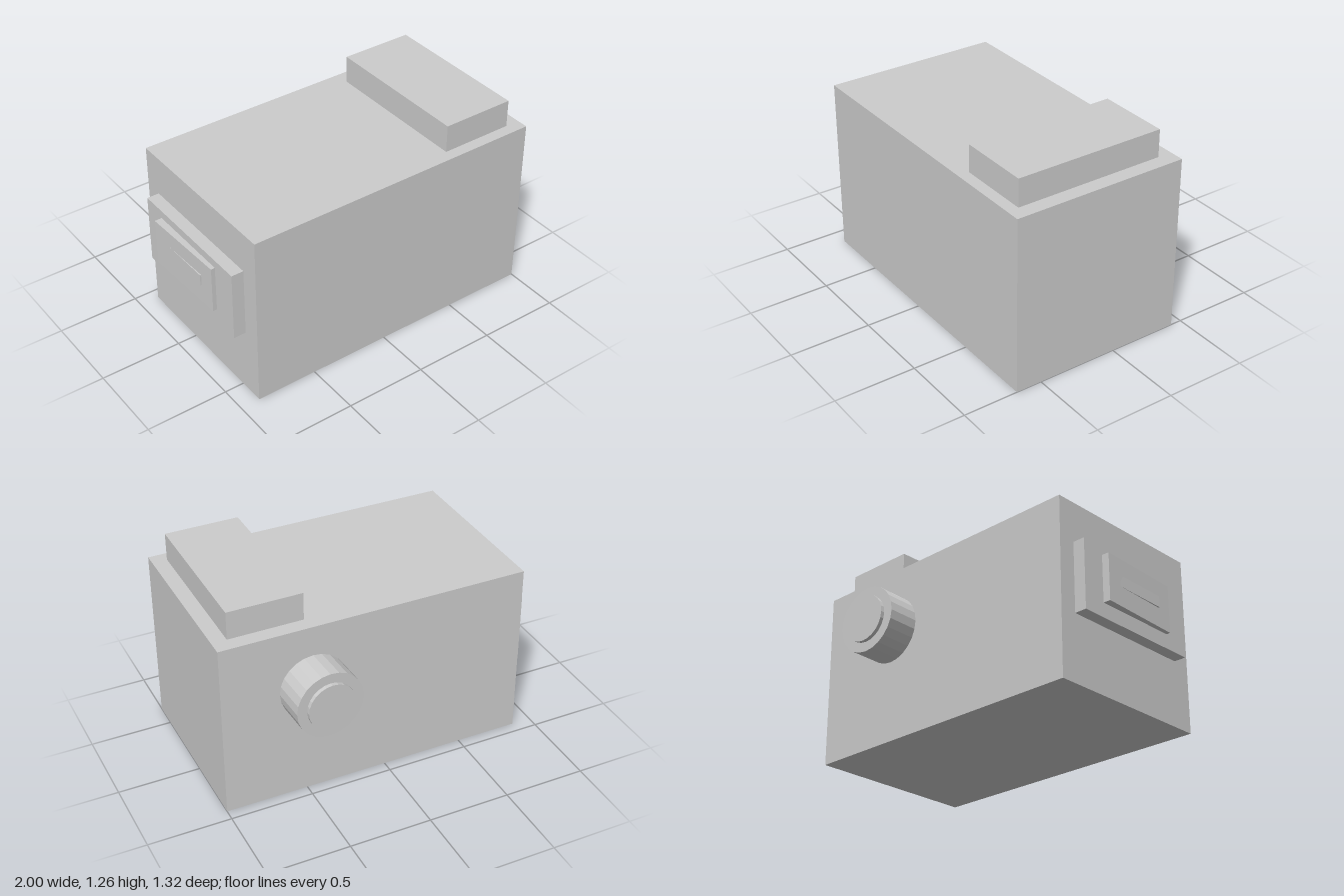
import * as THREE from 'three';

export function createModel() {
  const model = new THREE.Group();
  const grey = new THREE.MeshStandardMaterial({ color: 0xcccccc });
  grey.name = 'plain grey';

  function add(parent, name, geometry, x, y, z) {
    const mesh = new THREE.Mesh(geometry, grey);
    mesh.name = name;
    mesh.position.set(x, y, z);
    parent.add(mesh);
    return mesh;
  }

  // Box given by its lower and upper corners
  function box(name, [x0, y0, z0], [x1, y1, z1]) {
    const g = new THREE.BoxGeometry(x1 - x0, y1 - y0, z1 - z0);
    return add(model, name, g, (x0 + x1) / 2, (y0 + y1) / 2, (z0 + z1) / 2);
  }

  // Faceted disc whose axis runs along z
  function disc(radius, depth) {
    const g = new THREE.CylinderGeometry(radius, radius, depth, 24).rotateX(Math.PI / 2).toNonIndexed();
    g.computeVertexNormals();
    return g;
  }

  // Main body and the raised block on top
  box('body', [-0.88, 0, -0.43], [1, 1.09, 0.66]);
  box('topBlock', [0.46, 1.09, -0.34], [0.91, 1.26, 0.59]);

  // Layered panel on the -x side; the outer layers lean slightly
  box('sidePanel', [-0.955, 0.41, -0.32], [-0.88, 0.84, 0.545]);
  box('sidePlate', [-0.99, 0.5, -0.17], [-0.93, 0.79, 0.38]).rotation.y = 0.036;
  box('sideSlot', [-0.994, 0.62, -0.07], [-0.96, 0.69, 0.28]).rotation.set(0, 0.013, -0.015);

  // Round barrel at the back, turned a little towards -x
  const barrel = new THREE.Group();
  barrel.name = 'barrel';
  barrel.position.set(0.449, 0.703, -0.43);
  barrel.rotation.y = 0.04;
  model.add(barrel);
  add(barrel, 'barrelTube', disc(0.204, 0.225), 0, 0, -0.0925);
  add(barrel, 'barrelCap', disc(0.144, 0.06), 0, 0, -0.199);

  return model;
}
